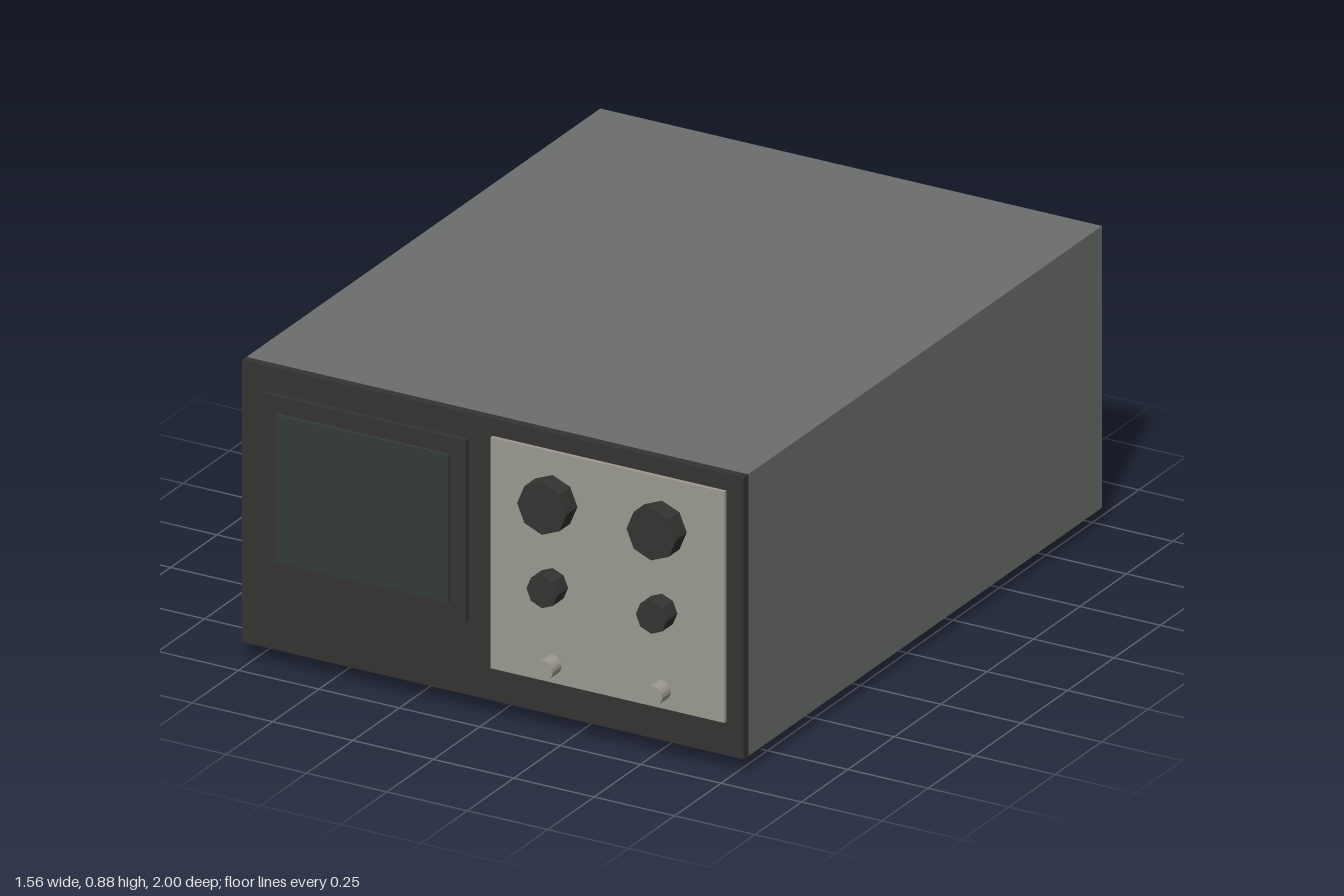
import * as THREE from 'three';

const material = (color) => new THREE.MeshStandardMaterial({ color, flatShading: true });

export function createModel() {
  const group = new THREE.Group();
  const caseGrey = material(0x6b6e6c);
  const dark = material(0x363432);
  const black = material(0x262524);
  const panelGrey = material(0x9c9a92);
  const glass = material(0x343c38);

  // Box given by its limits on each axis
  const box = (name, mat, [x0, x1], [y0, y1], [z0, z1]) => {
    const mesh = new THREE.Mesh(new THREE.BoxGeometry(x1 - x0, y1 - y0, z1 - z0), mat);
    mesh.position.set((x0 + x1) / 2, (y0 + y1) / 2, (z0 + z1) / 2);
    mesh.name = name;
    group.add(mesh);
  };

  // Cylinder pointing forward out of the control panel
  const peg = (name, mat, x, y, radius, sides, z1) => {
    const z0 = 0.935;
    const geometry = new THREE.CylinderGeometry(radius, radius, z1 - z0, sides).rotateX(Math.PI / 2);
    const mesh = new THREE.Mesh(geometry, mat);
    mesh.position.set(x, y, (z0 + z1) / 2);
    mesh.name = name;
    group.add(mesh);
  };

  // Case and front plate
  box('case', caseGrey, [-0.78, 0.78], [0.05, 0.88], [-1, 0.905]);
  box('frontPlate', dark, [-0.78, 0.78], [0.05, 0.88], [0.905, 0.93]);

  // Screen with its stepped frame
  box('screenFrame', dark, [-0.71, -0.075], [0.27, 0.805], [0.925, 0.945]);
  box('screen', glass, [-0.66, -0.125], [0.32, 0.755], [0.935, 0.955]);

  // Control panel with two columns of knobs and sockets
  box('controlPanel', panelGrey, [0, 0.727], [0.15, 0.83], [0.925, 0.942]);
  for (const x of [0.193, 0.533]) {
    peg('largeKnob', dark, x, 0.685, 0.077, 8, 1);
    peg('smallKnob', dark, x, 0.44, 0.048, 8, 1);
    peg('socket', panelGrey, x, 0.205, 0.028, 16, 0.99);
  }

  // Foot rails across the underside
  for (const z of [0.783, -0.877]) {
    box('footRail', black, [-0.73, 0.73], [0, 0.05], [z - 0.047, z + 0.047]);
  }
  return group;
}
